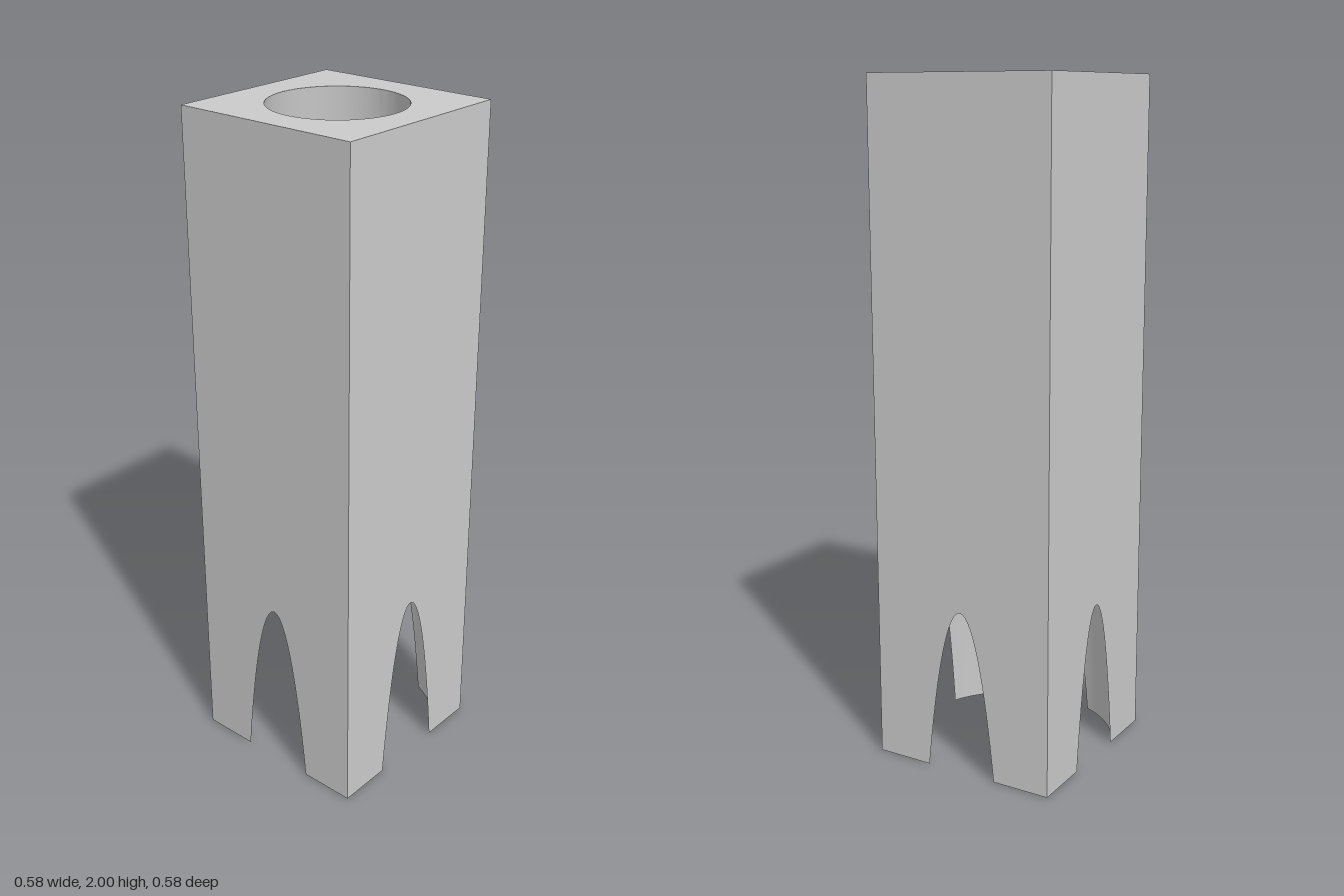
import * as THREE from 'three';
import { mergeGeometries, toCreasedNormals } from 'three/addons/utils/BufferGeometryUtils.js';

const HALF = 0.288;               // half the width of the square shaft
const HEIGHT = 2;
const CENTRE = [0.0018, 0.0012];  // bore axis, a hair off the shaft axis (x, z)

// Bore radius narrows in a gentle curve: BASE + SLOPE * y + BEND * y^2
const BASE = 0.31, SLOPE = -0.036, BEND = -0.0115;
const boreRadius = (y) => BASE + SLOPE * y + BEND * y * y;
const boreHeight = (r) => (-SLOPE - Math.sqrt(SLOPE * SLOPE - 4 * BEND * (BASE - r))) / (2 * BEND);

// One wall facing +z, turned to its side; the flared bore breaks through it as an arch
function wallGeometry(turn) {
  const cos = Math.cos(turn), sin = Math.sin(turn);
  const cx = CENTRE[0] * cos - CENTRE[1] * sin;
  const cz = CENTRE[0] * sin + CENTRE[1] * cos;
  const depth = HALF - cz;
  const archHalf = Math.sqrt(BASE * BASE - depth * depth);

  // Positions across the wall: foot, arch, foot
  const stops = [-HALF, cx - archHalf, cx + archHalf, HALF];
  const steps = [10, 40, 10];
  const across = [-HALF];
  steps.forEach((n, s) => {
    for (let i = 1; i <= n; i++) across.push(THREE.MathUtils.lerp(stops[s], stops[s + 1], i / n));
  });

  // Each column runs up the bore along one direction from its axis
  const rows = 16;
  const columns = across.map((x) => {
    const dist = Math.hypot(x - cx, depth);
    const open = dist < BASE + 1e-6;
    const y0 = open ? Math.max(0, boreHeight(dist)) : 0;
    const bore = [];
    for (let k = 0; k <= rows; k++) {
      const y = THREE.MathUtils.lerp(y0, HEIGHT, k / rows);
      const f = boreRadius(y) / dist;
      bore.push([cx + (x - cx) * f, y, cz + depth * f]);
    }
    return { open, bore, bottom: open ? bore[0] : [x, 0, HALF], top: [x, HEIGHT, HALF] };
  });

  const positions = [];
  const quad = (a, b, c, d) => positions.push(...a, ...b, ...c, ...a, ...c, ...d);
  for (let i = 0; i < columns.length - 1; i++) {
    const p = columns[i], q = columns[i + 1];
    quad(p.bottom, q.bottom, q.top, p.top);                            // outer face
    quad(p.top, q.top, q.bore[rows], p.bore[rows]);                    // top rim
    for (let k = 0; k < rows; k++) {
      quad(q.bore[k], p.bore[k], p.bore[k + 1], q.bore[k + 1]);        // bore
    }
    if (!(p.open && q.open)) quad(p.bore[0], q.bore[0], q.bottom, p.bottom); // foot
  }
  const geometry = new THREE.BufferGeometry();
  geometry.setAttribute('position', new THREE.Float32BufferAttribute(positions, 3));
  return geometry.rotateY(turn);
}

export function createModel() {
  const group = new THREE.Group();
  group.name = 'archedSquareTube';

  const walls = [0, 1, 2, 3].map((i) => wallGeometry((i * Math.PI) / 2));
  const shaft = new THREE.Mesh(
    toCreasedNormals(mergeGeometries(walls), 0.6),
    new THREE.MeshStandardMaterial({ color: 0xcccccc })
  );
  shaft.name = 'shaft';
  group.add(shaft);
  return group;
}
